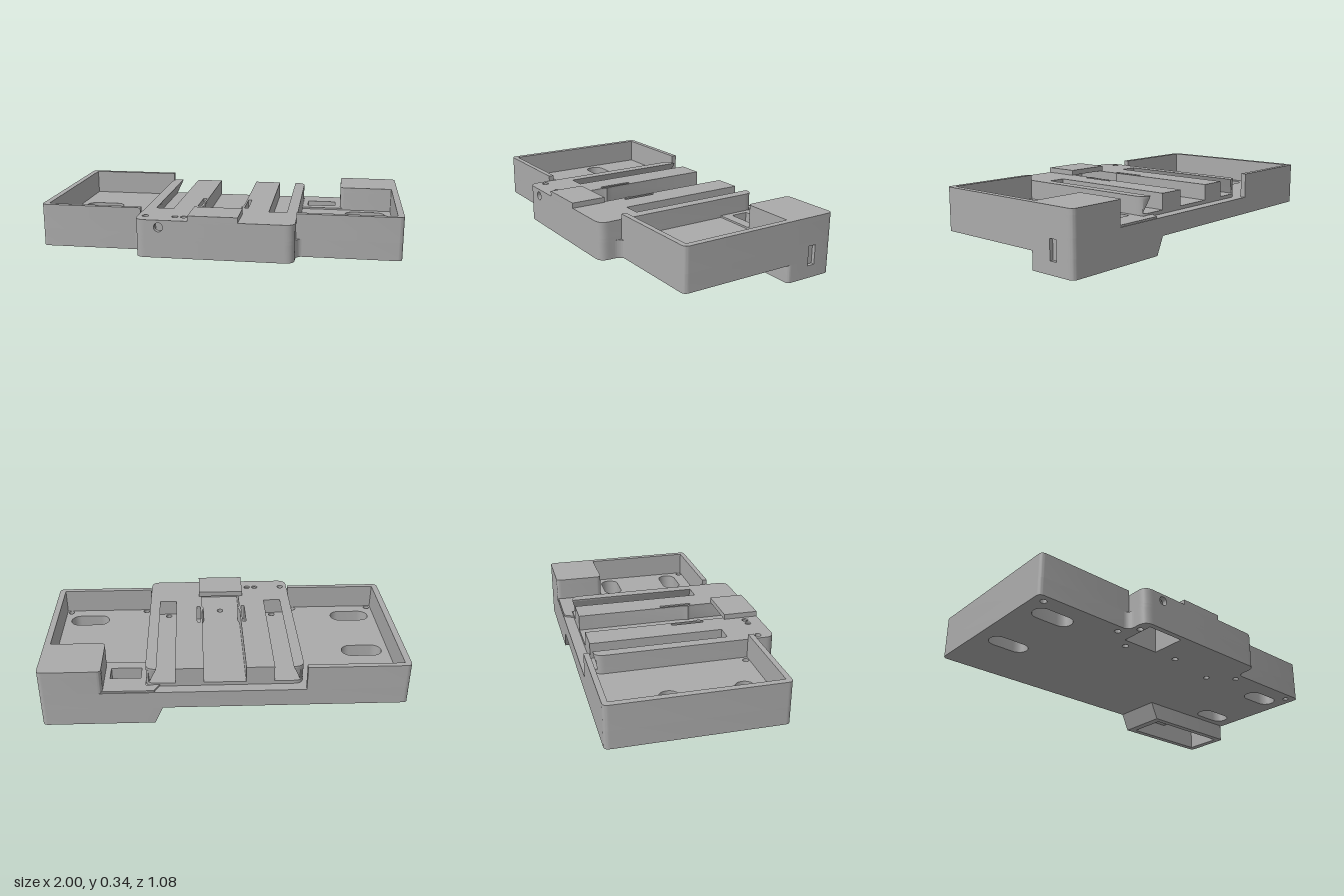
import * as THREE from 'three';
import { toCreasedNormals } from 'three/addons/utils/BufferGeometryUtils.js';

// Closed outline from [x, z, cornerRadius?] points
function outline(pts, Type = THREE.Shape) {
  const s = new Type();
  const n = pts.length;
  pts.forEach(([x, z, r = 0], i) => {
    const toward = ([px, pz]) => {
      const d = Math.hypot(px - x, pz - z);
      return [x + ((px - x) * r) / d, z + ((pz - z) * r) / d];
    };
    const a = toward(pts[(i + n - 1) % n]);
    const b = toward(pts[(i + 1) % n]);
    if (i === 0) s.moveTo(...a); else s.lineTo(...a);
    if (r) s.quadraticCurveTo(x, z, ...b);
  });
  s.closePath();
  return s;
}

const rect = (x0, x1, z0, z1, r = 0) => [[x0, z0, r], [x1, z0, r], [x1, z1, r], [x0, z1, r]];
const rectHole = (...a) => outline(rect(...a), THREE.Path);

function roundHole(x, z, r = 0.018) {
  return new THREE.Path().absarc(x, z, r, 0, Math.PI * 2, false);
}

function slotHole(x, z) {
  const p = new THREE.Path();
  p.absarc(x + 0.062, z, 0.055, -Math.PI / 2, Math.PI / 2, false);
  p.absarc(x - 0.062, z, 0.055, Math.PI / 2, Math.PI * 1.5, false);
  p.closePath();
  return p;
}

export function createModel() {
  const group = new THREE.Group();
  const grey = new THREE.MeshStandardMaterial({ color: 0xaaaaaa });
  grey.name = 'plain grey';

  function add(name, geo) {
    const mesh = new THREE.Mesh(toCreasedNormals(geo, 0.6), grey);
    mesh.name = name;
    group.add(mesh);
  }

  // Horizontal slab between y0 and y1, with an optional vertex rule
  function slab(name, pts, y0, y1, holes = [], rule) {
    const shape = outline(pts);
    shape.holes.push(...holes);
    const geo = new THREE.ExtrudeGeometry(shape, { depth: y1 - y0, bevelEnabled: false, curveSegments: 8 });
    geo.rotateX(Math.PI / 2).translate(0, y1, 0);
    if (rule) {
      const p = geo.attributes.position;
      const v = new THREE.Vector3();
      for (let i = 0; i < p.count; i++) {
        rule(v.fromBufferAttribute(p, i));
        p.setXYZ(i, v.x, v.y, v.z);
      }
      geo.computeVertexNormals();
    }
    add(name, geo);
  }

  // Shared cut-outs: pocket under the front corner, slot in the left side
  const pocket = [[-0.145, 0.54], [-0.145, 0.31], [-0.37, 0.31], [-0.37, 0.54]];
  const sideSlot = [[1, -0.43], [0.98, -0.43], [0.98, -0.385], [1, -0.385]];
  const centreHoles = () => [roundHole(-0.32, 0.255), roundHole(0.32, 0.255), roundHole(0, 0.315), roundHole(-0.39, 0.455)];

  // Base floor
  const baseHoles = centreHoles();
  for (const s of [-1, 1]) {
    baseHoles.push(slotHole(s * 0.81, -0.155), slotHole(s * 0.81, 0.255));
    baseHoles.push(roundHole(s * 0.94, 0.36), roundHole(s * 0.465, 0.36));
  }
  baseHoles.push(rectHole(0.46, 0.63, -0.41, -0.31), rectHole(0.69, 0.965, -0.51, -0.28));
  slab('baseFloor', [
    [-1, -0.54, 0.03], [1, -0.54, 0.03], ...sideSlot, [1, 0.41, 0.03],
    [0.45, 0.41, 0.015], [0.43, 0.44, 0.015], [0.43, 0.54, 0.055], ...pocket,
    [-0.43, 0.54, 0.055], [-0.43, 0.44, 0.015], [-0.45, 0.41, 0.015], [-1, 0.41, 0.03],
  ], 0.1, 0.2, baseHoles);

  // Tray walls
  slab('rightTrayWall', [
    [-0.44, -0.54], [-1, -0.54, 0.03], [-1, 0.41, 0.03], [-0.43, 0.41],
    [-0.43, 0.38], [-0.965, 0.38], [-0.965, -0.51], [-0.44, -0.51],
  ], 0.2, 0.34);
  slab('leftTrayWall', [
    [1, -0.25], [1, 0.41, 0.03], [0.43, 0.41], [0.43, 0.38], [0.965, 0.38], [0.965, -0.25],
  ], 0.2, 0.34);

  // Corner housing and the plate around its opening
  const housing = [[0.66, -0.54, 0.025], [1, -0.54, 0.03], [1, -0.25], [0.66, -0.25, 0.03]];
  slab('cornerHousing', housing, 0.2, 0.31, [rectHole(0.69, 0.965, -0.51, -0.28)]);
  slab('cornerHousingLid', housing, 0.31, 0.34);
  slab('openingPlate', [
    [0.385, -0.535], [0.68, -0.535], [0.68, -0.25], [0.43, -0.25], [0.43, -0.48], [0.355, -0.48],
  ], 0.2, 0.21, [rectHole(0.46, 0.63, -0.41, -0.31)]);

  // Open-bottomed lower box with a slanted inner end
  slab('lowerBox', [
    [0.34, -0.54], [1, -0.54, 0.03], ...sideSlot, [1, -0.25, 0.02], [0.34, -0.25],
  ], 0, 0.1, [rectHole(0.43, 0.96, -0.505, -0.285)], (v) => {
    if (v.x < 0.35) v.x += 0.045 * (1 - v.y / 0.1);
  });
  for (const [y0, y1] of [[0, 0.07], [0.18, 0.2]]) {
    slab('sideSlotEdge', rect(0.98, 1, -0.43, -0.385), y0, y1);
  }

  // Raised central plinth
  slab('centrePlinth', [
    [-0.43, -0.48, 0.055], [0.43, -0.48, 0.055], [0.43, 0.54, 0.055], ...pocket, [-0.43, 0.54, 0.055],
  ], 0.2, 0.22, centreHoles());

  // Rail plate: three channels open to the back, with undercut outer rails
  const halfChannels = [
    [0.115, 0.21], [0.104, 0.19], [0.115, 0.15], [0.115, -0.48],
    [0.27, -0.48], [0.27, 0.28], [0.37, 0.28], [0.37, -0.48], [0.43, -0.48, 0.055],
  ];
  const mirrored = halfChannels.map(([x, z, r]) => [-x, z, r]).reverse();
  const railOutline = (front) => [
    ...mirrored, [-0.115, 0.5], [0.115, 0.5], ...halfChannels,
    [0.43, 0.54, 0.055], ...front, [-0.43, 0.54, 0.055],
  ];
  const undercut = (v) => {
    const t = (0.31 - v.y) / 0.09;
    const edge = 0.37 + 0.04 * t;
    const ax = Math.abs(v.x);
    if (ax > 0.369 && ax < edge && v.z < 0.3) {
      v.x = Math.sign(v.x) * edge;
      if (v.z < -0.44) v.z = Math.max(v.z, -0.48 + 0.02 * t);
    }
  };
  const railHoles = () => [
    rectHole(-0.145, -0.125, 0.02, 0.21), rectHole(0.125, 0.145, 0.02, 0.21), roundHole(-0.39, 0.455),
  ];
  slab('railPlate', railOutline(pocket), 0.22, 0.3, railHoles(), undercut);
  slab('railPlateTop', railOutline([]), 0.3, 0.31,
    [...railHoles(), roundHole(-0.225, 0.455), roundHole(-0.177, 0.455)], undercut);

  // Bridge over the front end of the middle channel
  slab('frontBridge', rect(-0.14, 0.13, 0.34, 0.54), 0.31, 0.34);

  // Front wall of the pocket with its round hole
  const wall = outline(rect(-0.37, -0.145, 0.1, 0.3));
  wall.holes.push(roundHole(-0.3, 0.27, 0.025));
  const wallGeo = new THREE.ExtrudeGeometry(wall, { depth: 0.03, bevelEnabled: false, curveSegments: 10 });
  add('pocketFrontWall', wallGeo.translate(0, 0, 0.51));

  return group;
}
